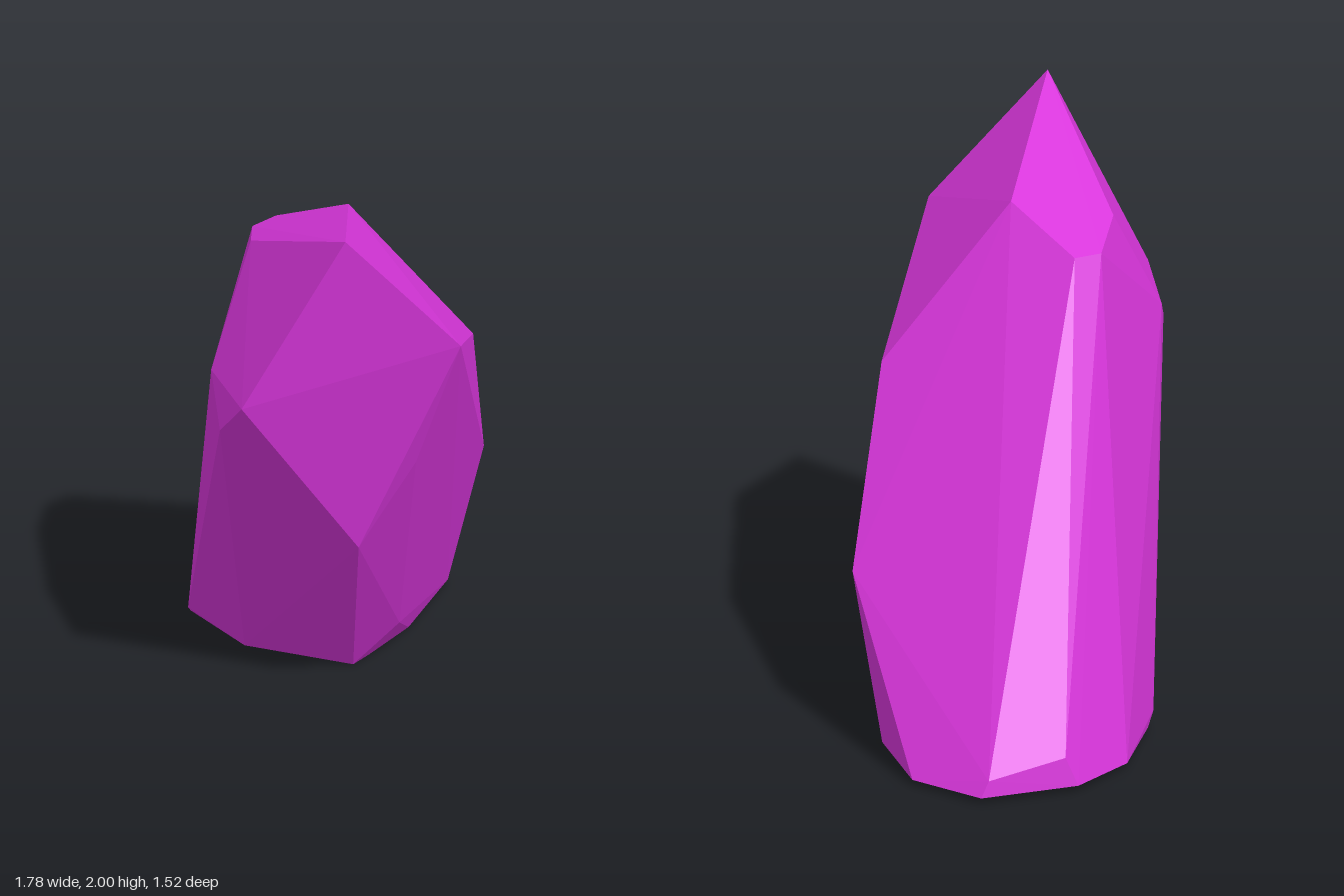
import * as THREE from 'three';
import { ConvexGeometry } from 'three/addons/geometries/ConvexGeometry.js';

// Corners of the leaning crystal, grouped from the ground up
const base = [
  [0.15, 0, 0.01], [0.125, 0, -0.08], [0.05, 0.005, -0.32], [-0.15, 0.01, -0.66],
  [-0.54, 0.02, -0.765], [-0.69, 0.02, -0.69], [-0.82, 0.022, -0.65], [-0.89, 0.025, -0.3],
  [-0.78, 0.022, -0.04], [-0.51, 0.018, 0.2], [-0.19, 0.01, 0.22],
];
// Small chips just above the base
const chips = [
  [0.233, 0.15, -0.13], [-0.82, 0.08, -0.62], [-0.87, 0.13, -0.34], [-0.47, 0.06, 0.245],
];
// Where the long side faces end
const shoulder = [
  [0.03, 0.59, -0.675], [0.56, 0.7, 0.32], [0.685, 1.03, 0.165], [0.32, 1.22, -0.39],
  [0.305, 1.185, 0.735], [0.455, 1.33, 0.76], [0.11, 1.31, 0.615], [0.89, 1.545, 0.13],
];
// Ridge and point of the slanted tip
const tip = [
  [-0.14, 1.66, 0.12], [-0.135, 1.655, 0.23], [0.04, 1.71, 0.38],
  [0.155, 1.79, 0.035], [0.72, 2, 0.51],
];

export function createModel() {
  const group = new THREE.Group();
  group.name = 'crystal';

  const magenta = new THREE.MeshStandardMaterial({ color: 0xd936dc });
  magenta.name = 'magenta';

  // Faceted body: flat faces stretched over the corners
  const corners = [...base, ...chips, ...shoulder, ...tip].map((p) => new THREE.Vector3(...p));
  const body = new THREE.Mesh(new ConvexGeometry(corners), magenta);
  body.name = 'crystalBody';
  group.add(body);

  return group;
}
